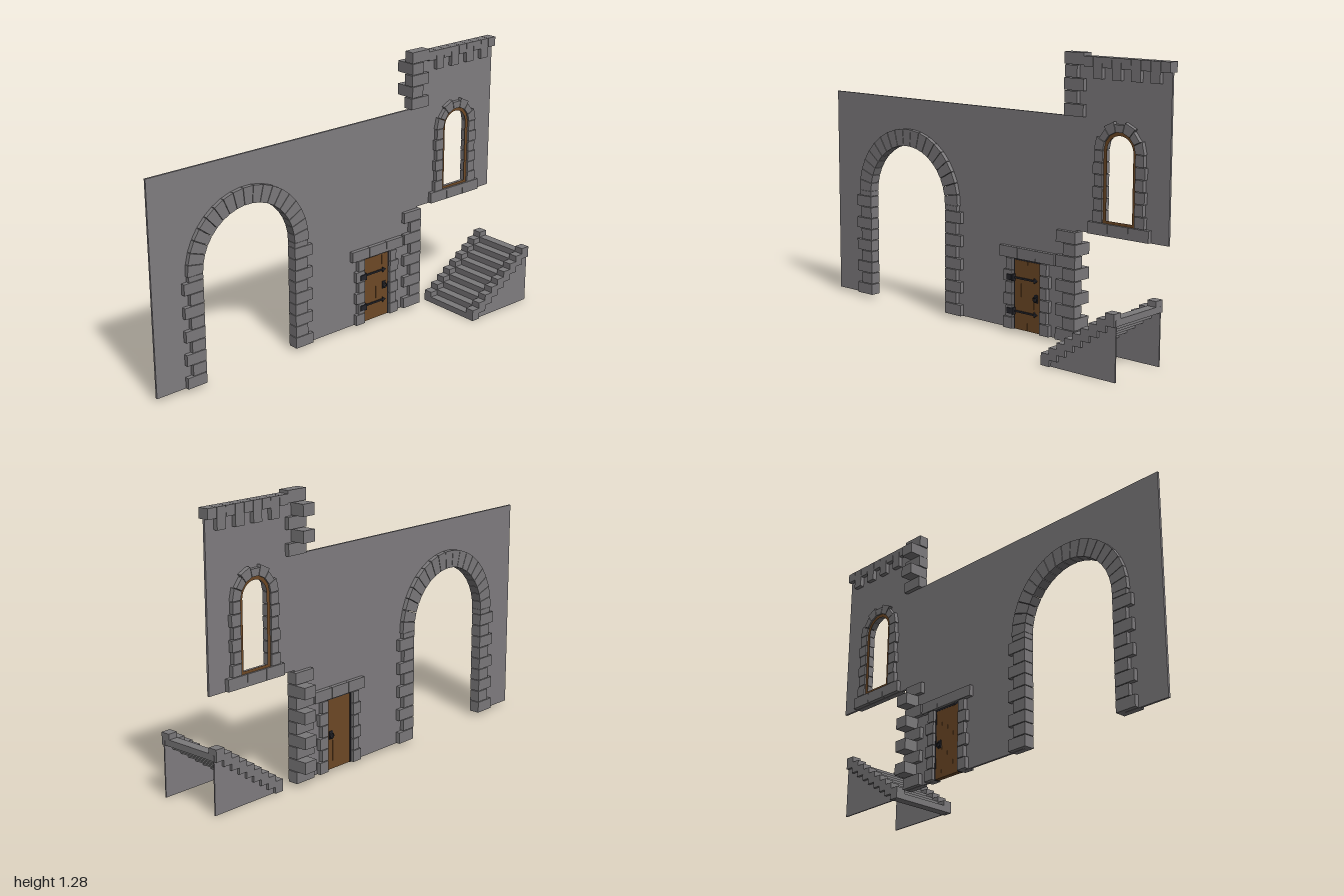
import * as THREE from 'three';

const mat = (name, color) => Object.assign(new THREE.MeshStandardMaterial({ color }), { name });
const WALL_Z = -0.125, STONE_BACK = -0.15, STONE_FRONT = -0.1;

export function createModel() {
  const root = new THREE.Group();
  root.name = 'castleWall';
  const plaster = mat('wallGrey', 0x807d80);
  const stone = mat('stoneGrey', 0x7b797b);
  const wood = mat('wood', 0x6e4926);
  const iron = mat('iron', 0x26262c);

  const group = (name) => {
    const g = new THREE.Group();
    g.name = name;
    root.add(g);
    return g;
  };
  const add = (parent, name, geo, material) => {
    const m = new THREE.Mesh(geo, material);
    m.name = name;
    parent.add(m);
    return m;
  };
  // Box given by its limits
  const box = (parent, name, material, x0, x1, y0, y1, z0 = STONE_BACK, z1 = STONE_FRONT) => {
    const m = add(parent, name, new THREE.BoxGeometry(x1 - x0, y1 - y0, z1 - z0), material);
    m.position.set((x0 + x1) / 2, (y0 + y1) / 2, (z0 + z1) / 2);
    return m;
  };
  const plate = (parent, name, material, shape, z0, z1) => {
    const geo = new THREE.ExtrudeGeometry(shape, { depth: z1 - z0, bevelEnabled: false, curveSegments: 20 });
    geo.translate(0, 0, z0);
    return add(parent, name, geo, material);
  };
  const archPath = (Type, cx, r, y0, spring) => {
    const p = new Type();
    p.moveTo(cx - r, y0);
    p.lineTo(cx - r, spring);
    p.absarc(cx, spring, r, Math.PI, 0, true);
    p.lineTo(cx + r, y0);
    p.closePath();
    return p;
  };
  // Ring of wedge-shaped stones with thin joints
  const voussoirs = (parent, cx, cy, rIn, rOut, count, rAlt = rOut) => {
    const step = Math.PI / count, gap = 0.0012;
    for (let i = 0; i < count; i++) {
      const a = i * step, b = a + step, ro = i % 2 ? rOut : rAlt;
      const pt = (r, t) => new THREE.Vector2(cx + r * Math.cos(t), cy + r * Math.sin(t));
      const shape = new THREE.Shape([
        pt(rIn, a + gap / rIn), pt(ro, a + gap / ro), pt(ro, b - gap / ro), pt(rIn, b - gap / rIn),
      ]);
      plate(parent, 'archStone', stone, shape, STONE_BACK, STONE_FRONT);
    }
  };
  // Column of alternately wide and narrow stones, growing from an inner edge in direction dir
  const jamb = (parent, inner, dir, y0, y1, rows, wide, narrow) => {
    const h = (y1 - y0) / rows;
    for (let i = 0; i < rows; i++) {
      const outer = inner + dir * (i % 2 ? narrow : wide);
      box(parent, 'jambStone', stone, Math.min(inner, outer), Math.max(inner, outer),
        y0 + i * h + 0.0015, y0 + (i + 1) * h - 0.0015);
    }
  };
  const courses = (parent, name, x0, x1, y0, y1, count) => {
    const w = (x1 - x0) / count;
    for (let i = 0; i < count; i++)
      box(parent, name, stone, x0 + i * w + 0.001, x0 + (i + 1) * w - 0.001, y0, y1);
  };

  // Thin wall with the gate and door cut from below and a window hole
  const wall = new THREE.Shape();
  wall.moveTo(-1, 0.015);
  wall.lineTo(-0.78, 0.015);
  wall.lineTo(-0.78, 0.535);
  wall.absarc(-0.5, 0.535, 0.28, Math.PI, 0, true);
  for (const [x, y] of [[-0.22, 0.015], [0.14, 0.015], [0.14, 0.36], [0.355, 0.36], [0.355, 0.015],
    [0.515, 0.015], [0.515, 0.515], [0.997, 0.515], [0.997, 1.255], [0.48, 1.255], [0.48, 1.01], [-1, 1.01]])
    wall.lineTo(x, y);
  wall.closePath();
  wall.holes.push(archPath(THREE.Path, 0.75, 0.095, 0.54, 0.88));
  plate(root, 'wall', plaster, wall, WALL_Z - 0.005, WALL_Z + 0.005);

  // Gate arch
  const gate = group('gateArch');
  voussoirs(gate, -0.5, 0.535, 0.25, 0.33, 19);
  for (const dir of [-1, 1]) {
    jamb(gate, -0.5 + dir * 0.25, dir, 0.015, 0.51, 9, 0.1, 0.07);
    const a = -0.5 + dir * 0.25, b = -0.5 + dir * 0.325;
    box(gate, 'springStone', stone, Math.min(a, b), Math.max(a, b), 0.511, 0.535);
  }

  // Door with frame stones, planks and ironwork
  const door = group('door');
  jamb(door, 0.167, -1, 0.015, 0.343, 6, 0.052, 0.038);
  jamb(door, 0.328, 1, 0.015, 0.343, 6, 0.052, 0.038);
  courses(door, 'lintelStone', 0.09, 0.41, 0.345, 0.395, 3);
  for (let i = 0; i < 4; i++)
    box(door, 'plank', wood, 0.174 + i * 0.037, 0.2105 + i * 0.037, 0.017, 0.336, -0.135, -0.113);
  for (const x of [0.166, 0.322]) box(door, 'doorFrame', iron, x, x + 0.008, 0.015, 0.345, -0.136, -0.114);
  box(door, 'doorFrame', iron, 0.174, 0.322, 0.336, 0.345, -0.136, -0.114);
  for (const y of [0.1, 0.255]) {
    box(door, 'hingePlate', iron, 0.138, 0.166, y - 0.013, y + 0.013, -0.101, -0.095);
    box(door, 'hingeKnuckle', iron, 0.164, 0.176, y - 0.016, y + 0.016, -0.114, -0.096);
    box(door, 'hingeStrap', iron, 0.174, 0.292, y - 0.004, y + 0.004, -0.114, -0.107);
    const tip = new THREE.Shape([[0.288, -0.013], [0.307, 0], [0.288, 0.013]].map(([x, dy]) => new THREE.Vector2(x, y + dy)));
    plate(door, 'hingeTip', iron, tip, -0.114, -0.107);
  }
  for (const [z, dir] of [[-0.113, 1], [-0.135, -1]]) {
    const zb = z + dir * 0.004;
    box(door, 'lockPlate', iron, 0.288, 0.308, 0.157, 0.193, Math.min(z, zb), Math.max(z, zb));
    const knob = add(door, 'handle', new THREE.TorusGeometry(0.011, 0.003, 6, 14), iron);
    knob.position.set(0.298, 0.172, z + dir * 0.008);
  }

  // Corner stones: every second one turns the corner towards the back
  const corner = (name, x0, x1, y0, rows) => {
    const g = group(name);
    for (let i = 0; i < rows; i++) {
      const y = y0 + i * 0.055, turned = i % 2;
      box(g, 'cornerStone', stone, turned ? 0.458 : x0, turned ? 0.525 : x1,
        y + 0.0015, y + 0.0535, turned ? -0.2 : STONE_BACK);
    }
  };
  corner('lowerCorner', 0.418, 0.525, 0.015, 9);
  corner('towerCorner', 0.455, 0.56, 1.01, 5);

  // Tower crown
  const crown = group('battlements');
  for (let i = 0; i < 9; i++) {
    const w = 0.44 / 9, x = 0.56 + i * w;
    box(crown, 'crownStone', stone, x + 0.001, x + w - 0.001, i % 2 ? 1.178 : 1.226, 1.27);
  }

  // Window: stone surround, sill and wooden frame
  const win = group('window');
  for (const dir of [-1, 1]) jamb(win, 0.75 + dir * 0.085, dir, 0.57, 0.88, 6, 0.05, 0.042);
  voussoirs(win, 0.75, 0.88, 0.085, 0.118, 7, 0.13);
  courses(win, 'sillStone', 0.59, 0.91, 0.517, 0.569, 3);
  const frame = archPath(THREE.Shape, 0.75, 0.086, 0.568, 0.88);
  frame.holes.push(archPath(THREE.Path, 0.75, 0.068, 0.582, 0.88));
  plate(win, 'windowFrame', wood, frame, -0.142, -0.11);

  // Open-backed staircase climbing to the left
  const stairs = group('stairs');
  const N = 9, run = 0.0415, rise = 0.0288;
  for (let i = 0; i < N; i++) {
    const x = 0.59 + i * run, y = i * rise;
    box(stairs, 'step', stone, x, x + run + 0.003, y + 0.001, y + 0.03, -0.13, 0.2);
    for (const z of [-0.13, 0.155])
      box(stairs, 'curbStone', stone, x, x + run + 0.003, y + 0.03, y + 0.055, z, z + 0.045);
  }
  const side = new THREE.Shape([[0.6, 0], [0.968, 0], [0.968, 0.258], [0.955, 0.258]].map((p) => new THREE.Vector2(...p)));
  for (const z of [-0.118, 0.182]) plate(stairs, 'stairSide', plaster, side, z, z + 0.006);

  return root;
}
